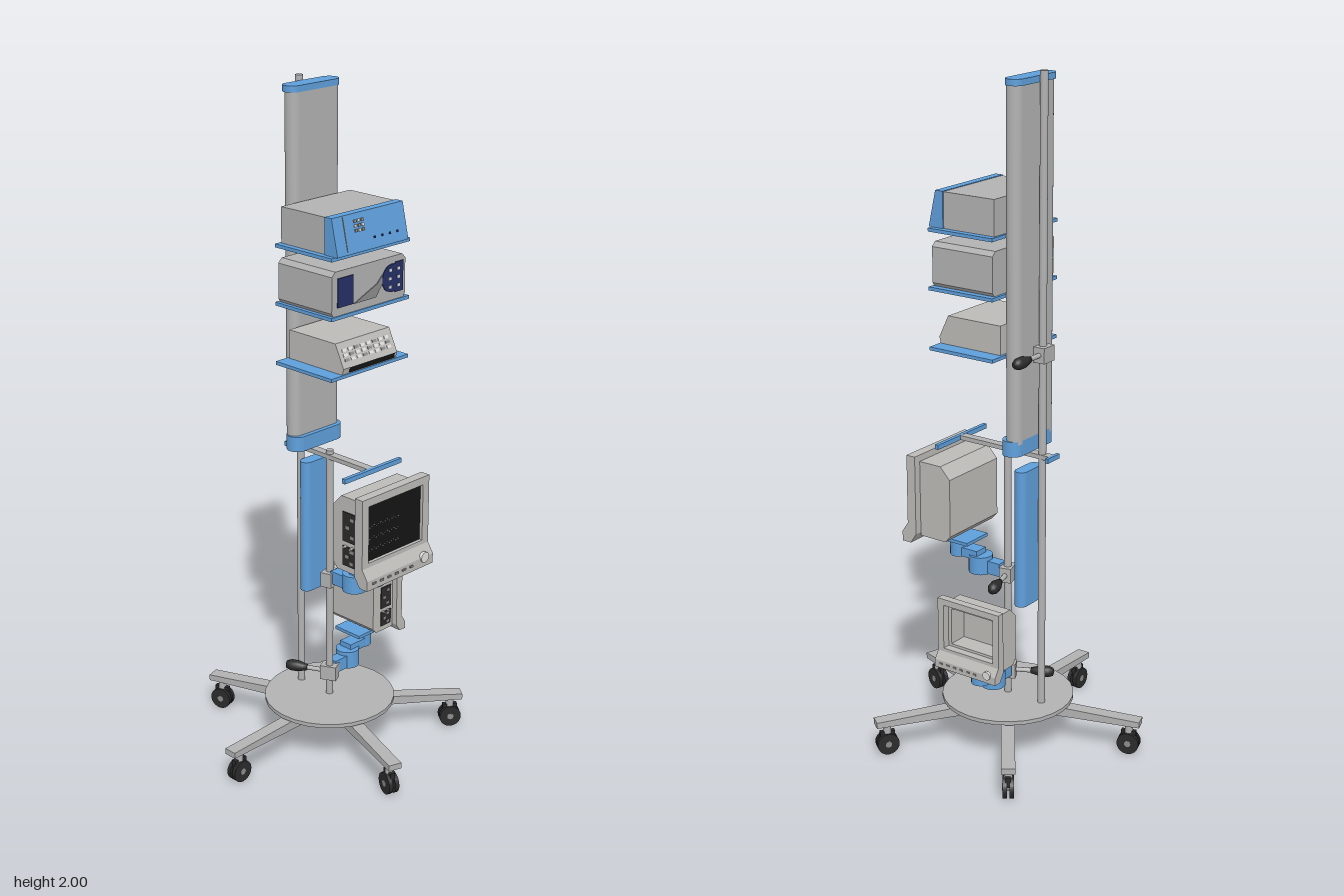
import * as THREE from 'three';

const material = (name, color, side = THREE.FrontSide) => {
  const m = new THREE.MeshStandardMaterial({ color, side });
  m.name = name;
  return m;
};
const grey = material('metal grey', 0xb2b2b2);
const shell = material('warm casing grey', 0xbdbbb8);
const blue = material('enamel blue', 0x5f9fdb);
const black = material('rubber black', 0x2b2b2b);
const screenBlack = material('screen black', 0x141414);
const navy = material('panel navy', 0x252f66);
const dark = material('panel grey', 0x8c8c8c);
const white = material('button white', 0xe0e0de);

function add(parent, name, geometry, mat, x = 0, y = 0, z = 0) {
  const mesh = new THREE.Mesh(geometry, mat);
  mesh.name = name;
  mesh.position.set(x, y, z);
  parent.add(mesh);
  return mesh;
}
function group(parent, name, x = 0, y = 0, z = 0, turn = 0) {
  const g = new THREE.Group();
  g.name = name;
  g.position.set(x, y, z);
  g.rotation.y = turn;
  parent.add(g);
  return g;
}
const box = (w, h, d) => new THREE.BoxGeometry(w, h, d);
const cyl = (r, h, n = 20) => new THREE.CylinderGeometry(r, r, h, n);
const polygon = (pts) => new THREE.Shape(pts.map(([x, y]) => new THREE.Vector2(x, y)));
const rect = (x0, y0, x1, y1) => polygon([[x0, y0], [x1, y0], [x1, y1], [x0, y1]]);
const extrude = (shape, depth) =>
  new THREE.ExtrudeGeometry(shape, { depth, bevelEnabled: false, curveSegments: 12 });

// Side profile of [z, y] points drawn out to a width along x
const prism = (pts, width) =>
  extrude(polygon(pts), width).rotateY(-Math.PI / 2).translate(width / 2, 0, 0);

// Upright bar with rounded ends, standing on its base
function roundBar(w, d, h) {
  const s = new THREE.Shape(), r = d / 2, k = w / 2 - r;
  s.absarc(k, 0, r, -Math.PI / 2, Math.PI / 2);
  s.absarc(-k, 0, r, Math.PI / 2, Math.PI * 1.5);
  s.closePath();
  return extrude(s, h).rotateX(-Math.PI / 2);
}

// Pole clamp with a bulbous handle along local +x
function clamp(parent, x, y, z, turn) {
  const g = group(parent, 'poleClamp', x, y, z, turn);
  add(g, 'clampBlock', box(0.05, 0.045, 0.036), grey);
  add(g, 'clampScrew', cyl(0.007, 0.06, 12).rotateZ(Math.PI / 2), grey, 0.05);
  const profile = [[0, 0], [0.009, 0], [0.012, 0.012], [0.017, 0.03], [0.017, 0.052], [0.012, 0.066], [0, 0.07]]
    .map(([r, h]) => new THREE.Vector2(r, h));
  add(g, 'clampHandle', new THREE.LatheGeometry(profile, 16).rotateZ(-Math.PI / 2), black, 0.07);
}

// Jointed bracket reaching along local +z to a tray
function bracket(parent, x, y, z, turn) {
  const g = group(parent, 'monitorBracket', x, y, z, turn);
  add(g, 'innerLink', box(0.035, 0.04, 0.06), blue, 0.006, 0.01, 0.045);
  add(g, 'elbow', cyl(0.036, 0.054), blue, 0.012, 0.015, 0.09);
  add(g, 'outerLink', box(0.045, 0.028, 0.08), blue, 0.016, 0.044, 0.125);
  add(g, 'swivel', cyl(0.028, 0.055), blue, 0.02, 0.056, 0.162);
  add(g, 'tray', box(0.1, 0.01, 0.118), blue, 0.02, 0.087, 0.155);
}

// Monitor facing local +z, its bezel standing on y = 0
function monitor(parent, name, hasScreen, scale, x, y, z, turn) {
  const g = group(parent, name, x, y, z, turn);
  g.scale.setScalar(scale);
  const frame = rect(-0.138, 0.06, 0.138, 0.27);
  frame.holes.push(rect(-0.112, 0.073, 0.112, 0.246));
  add(g, 'bezel', extrude(frame, 0.03), shell);
  add(g, 'controlLip', prism([[0, 0.06], [0, 0.03], [0.02, 0], [0.05, 0], [0.05, 0.03], [0.03, 0.06]], 0.276), shell);
  const body = rect(-0.115, 0.02, 0.115, 0.25);
  if (!hasScreen) body.holes.push(rect(-0.098, 0.083, 0.106, 0.225));
  add(g, 'casing', extrude(body, 0.075), shell, 0, 0, -0.075);
  add(g, 'casingBack', prism([[-0.075, 0.02], [-0.075, 0.25], [-0.108, 0.215], [-0.108, 0.04], [-0.09, 0.02]], 0.23), shell);
  if (hasScreen) {
    add(g, 'screen', box(0.222, 0.172, 0.006), screenBlack, 0, 0.16, 0.018);
    for (let row = 0; row < 3; row++)
      for (let i = 0; i < 14; i++)
        add(g, 'screenTrace', box(0.003, 0.003, 0.002), dark, -0.1 + i * 0.009, 0.105 + row * 0.035 + (i % 3) * 0.003, 0.022);
  }
  // Buttons and dial on the lip
  for (let i = 0; i < 6; i++)
    add(g, 'button', box(0.014, 0.006, 0.004), dark, -0.11 + i * 0.031, 0.018, 0.051);
  add(g, 'dial', cyl(0.016, 0.01).rotateX(Math.PI / 2), white, 0.1, 0.03, 0.05);
  // Vents and sockets on the side
  for (const [vy, h] of [[0.16, 0.09], [0.07, 0.06]]) {
    add(g, 'vent', box(0.006, h, 0.056), black, -0.115, vy, -0.039);
    for (let i = 0; i < 3; i++)
      add(g, 'socket', box(0.004, 0.01, 0.014), dark, -0.117, vy + (i - 1) * h * 0.3, -0.03 - (i % 2) * 0.018);
  }
  for (const pz of [-0.03, -0.055])
    add(g, 'peg', cyl(0.004, 0.014, 8).rotateZ(Math.PI / 2), grey, -0.121, 0.1, pz);
}

export function createModel() {
  const model = new THREE.Group();
  model.name = 'equipmentStand';

  // Round base, five legs and casters
  add(model, 'baseDisc', cyl(0.196, 0.012, 28), grey, 0.03, 0.136, 0);
  add(model, 'baseHub', cyl(0.04, 0.045), grey, 0.03, 0.11, 0);
  for (let i = 0; i < 5; i++) {
    const leg = group(model, 'legWithCaster', 0.03, 0, 0, -Math.PI / 2 + i * Math.PI * 0.4);
    add(leg, 'leg', prism([[0, 0.095], [0, 0.13], [0.41, 0.11], [0.41, 0.092]], 0.04), grey);
    add(leg, 'casterStem', cyl(0.012, 0.035, 12), grey, 0, 0.079, 0.375);
    add(leg, 'casterHood', box(0.014, 0.03, 0.044), black, 0, 0.057, 0.375);
    for (const s of [-1, 1])
      add(leg, 'wheel', cyl(0.033, 0.012, 20).rotateZ(Math.PI / 2), black, s * 0.01, 0.033, 0.375);
    add(leg, 'axle', cyl(0.01, 0.034, 12).rotateZ(Math.PI / 2), dark, 0, 0.033, 0.375);
  }

  // Poles, tall column and lower blue column
  add(model, 'rearPole', cyl(0.011, 1.86), grey, 0.03, 1.07, -0.121);
  add(model, 'frontPole', cyl(0.011, 0.795), grey, 0.03, 0.537, 0);
  add(model, 'column', roundBar(0.186, 0.048, 1.0), grey, 0.038, 0.97, -0.081);
  add(model, 'columnFoot', roundBar(0.196, 0.062, 0.045), blue, 0.038, 0.935, -0.074);
  add(model, 'columnCap', roundBar(0.196, 0.054, 0.018), blue, 0.038, 1.968, -0.083);
  add(model, 'lowerColumn', roundBar(0.1, 0.038, 0.415), blue, 0.05, 0.465, -0.085);

  // Push handle on its cross arm
  add(model, 'crossArm', box(0.026, 0.013, 0.315), grey, 0.03, 0.917, 0.005);
  add(model, 'handleBar', box(0.233, 0.014, 0.012), blue, 0.032, 0.917, 0.166);
  add(model, 'armEnd', box(0.057, 0.014, 0.01), blue, 0.032, 0.917, -0.156);

  // Shelves
  for (const y of [1.222, 1.395, 1.561])
    add(model, 'shelf', box(0.308, 0.01, 0.218), blue, 0.029, y, 0.049);

  // Top unit with a sloping blue front
  const top = group(model, 'topUnit', 0.028, 1.566, 0);
  add(top, 'casing', prism([[-0.053, 0], [-0.053, 0.102], [0.118, 0.102], [0.118, 0]], 0.27), grey);
  add(top, 'frontPanel', prism([[0.118, 0], [0.118, 0.104], [0.143, 0.104], [0.166, 0.004], [0.166, 0]], 0.278), blue);
  const face = group(top, 'frontControls', 0, 0.054, 0.1545);
  face.rotation.x = -0.226;
  add(face, 'panelSeam', box(0.003, 0.094, 0.003), dark, -0.098, 0, 0);
  for (let i = 0; i < 9; i++)
    add(face, 'button', box(0.009, 0.008, 0.006), i % 2 ? white : dark, -0.056 + (i % 3) * 0.014, 0.004 + Math.floor(i / 3) * 0.013, 0);
  for (let i = 0; i < 4; i++)
    add(face, 'indicator', box(0.006, 0.006, 0.006), navy, 0.01 + i * 0.03, -0.025, 0);

  // Middle unit with navy panels
  const mid = group(model, 'middleUnit', 0.025, 1.4, 0);
  const outline = polygon([[-0.138, 0], [0.138, 0], [0.145, 0.01], [0.145, 0.112], [0.132, 0.125], [-0.132, 0.125], [-0.145, 0.112], [-0.145, 0.01]]);
  add(mid, 'casing', extrude(outline, 0.206), grey, 0, 0, -0.052);
  add(mid, 'leftPanel', box(0.06, 0.082, 0.006), navy, -0.094, 0.064, 0.154);
  add(mid, 'centrePanel', extrude(polygon([[-0.06, 0.022], [0.025, 0.022], [0.05, 0.055], [0.05, 0.08], [0.03, 0.06]]), 0.004), dark, 0, 0, 0.153);
  add(mid, 'rightPanel', cyl(0.04, 0.006, 24).rotateX(Math.PI / 2), navy, 0.09, 0.064, 0.154);
  add(mid, 'rightPanelEdge', box(0.032, 0.086, 0.006), navy, 0.118, 0.064, 0.154);
  for (let i = 0; i < 6; i++)
    add(mid, 'button', box(0.01, 0.008, 0.006), white, 0.08 + (i % 2) * 0.034, 0.04 + Math.floor(i / 2) * 0.024, 0.156);

  // Lower unit with a sloping keypad
  const low = group(model, 'lowerUnit', 0.028, 1.227, 0);
  add(low, 'casing', prism([[-0.052, 0], [-0.052, 0.084], [0.128, 0.084], [0.16, 0.018], [0.155, 0]], 0.215), shell);
  add(low, 'printerSlot', box(0.18, 0.014, 0.006), screenBlack, 0.008, 0.011, 0.157);
  const keypad = group(low, 'keypad', 0, 0.05, 0.1445);
  keypad.rotation.x = -0.452;
  for (let i = 0; i < 24; i++)
    add(keypad, 'key', box(0.016, 0.008, 0.004), i % 3 ? white : dark, -0.085 + (i % 8) * 0.024, -0.014 + Math.floor(i / 8) * 0.014, 0);

  // Clamps, brackets and monitors
  clamp(model, 0.03, 1.22, -0.125, 0);
  clamp(model, 0.03, 0.527, 0, 0.28);
  clamp(model, 0.03, 0.215, 0, 2.03);
  bracket(model, 0.03, 0.527, 0, 0);
  bracket(model, 0.03, 0.215, 0, Math.PI / 2);
  monitor(model, 'mainMonitor', true, 1, 0.044, 0.615, 0.22, 0);
  monitor(model, 'sideMonitor', false, 0.78, 0.238, 0.3, -0.027, Math.PI / 2);

  return model;
}
